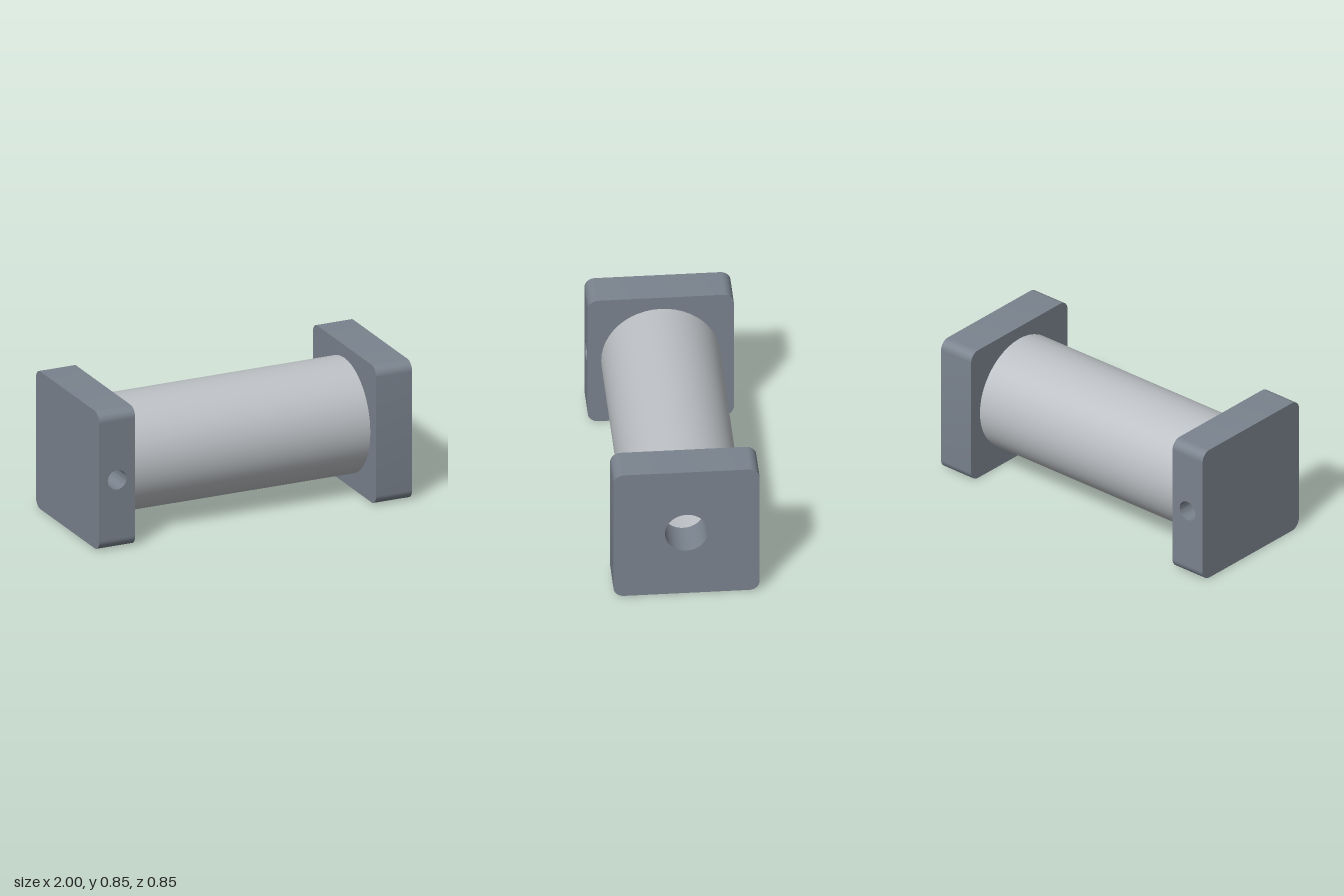
import * as THREE from 'three';
import { toCreasedNormals } from 'three/addons/utils/BufferGeometryUtils.js';

const SIZE = 0.845, HALF = SIZE / 2, THICK = 0.23, CORNER = 0.06;
const BARREL_R = 0.345, BORE_R = 0.3, BARREL_HALF = 0.77;

function circle(r) {
  return new THREE.Path().absarc(0, 0, r, 0, Math.PI * 2, true);
}

// Extrusion centred on its depth, with smooth arcs and sharp edges
function extrude(shape, depth) {
  const g = new THREE.ExtrudeGeometry(shape, { depth, bevelEnabled: false, curveSegments: 24 });
  g.translate(0, 0, -depth / 2);
  return toCreasedNormals(g, 0.5);
}

function roundedSquare() {
  const s = new THREE.Shape(), a = HALF - CORNER;
  s.absarc(a, a, CORNER, 0, Math.PI / 2);
  s.absarc(-a, a, CORNER, Math.PI / 2, Math.PI);
  s.absarc(-a, -a, CORNER, Math.PI, Math.PI * 1.5);
  s.absarc(a, -a, CORNER, Math.PI * 1.5, Math.PI * 2);
  s.closePath();
  return s;
}

// Strip along the top of a plate, with its two outer corners rounded
function roundedStrip() {
  const s = new THREE.Shape(), a = HALF - CORNER;
  s.moveTo(-HALF, a);
  s.lineTo(HALF, a);
  s.absarc(a, a, CORNER, 0, Math.PI / 2);
  s.absarc(-a, a, CORNER, Math.PI / 2, Math.PI);
  return s;
}

export function createModel() {
  const model = new THREE.Group();
  const plateGrey = new THREE.MeshStandardMaterial({ color: 0x7a838e });
  plateGrey.name = 'plateGrey';
  const barrelGrey = new THREE.MeshStandardMaterial({ color: 0xbcc0c4 });
  barrelGrey.name = 'barrelGrey';

  const add = (name, geometry, material, parent) => {
    const mesh = new THREE.Mesh(geometry, material);
    mesh.name = name;
    parent.add(mesh);
    return mesh;
  };

  // Head plate with the central rod hole
  const head = roundedSquare();
  head.holes.push(circle(0.125));
  const headPlate = add('headPlate', extrude(head, THICK).rotateY(Math.PI / 2), plateGrey, model);
  headPlate.position.set(1 - THICK / 2, HALF, 0);

  // End plate: a band drilled from front to back between two rounded strips
  const endPlate = new THREE.Group();
  endPlate.name = 'endPlate';
  endPlate.position.set(-1 + THICK / 2, HALF, 0);
  model.add(endPlate);
  const w = THICK / 2, h = HALF - CORNER;
  const band = new THREE.Shape([
    new THREE.Vector2(-w, -h), new THREE.Vector2(w, -h),
    new THREE.Vector2(w, h), new THREE.Vector2(-w, h),
  ]);
  band.holes.push(circle(0.06));
  add('drilledBand', extrude(band, SIZE), plateGrey, endPlate);
  const strip = extrude(roundedStrip(), THICK).rotateY(Math.PI / 2);
  add('topStrip', strip, plateGrey, endPlate);
  add('bottomStrip', strip, plateGrey, endPlate).rotation.x = Math.PI;

  // Hollow barrel between the plates
  const ring = new THREE.Shape().absarc(0, 0, BARREL_R, 0, Math.PI * 2);
  ring.holes.push(circle(BORE_R));
  const barrel = add('barrel', extrude(ring, BARREL_HALF * 2).rotateY(Math.PI / 2), barrelGrey, model);
  barrel.position.y = HALF;

  return model;
}
